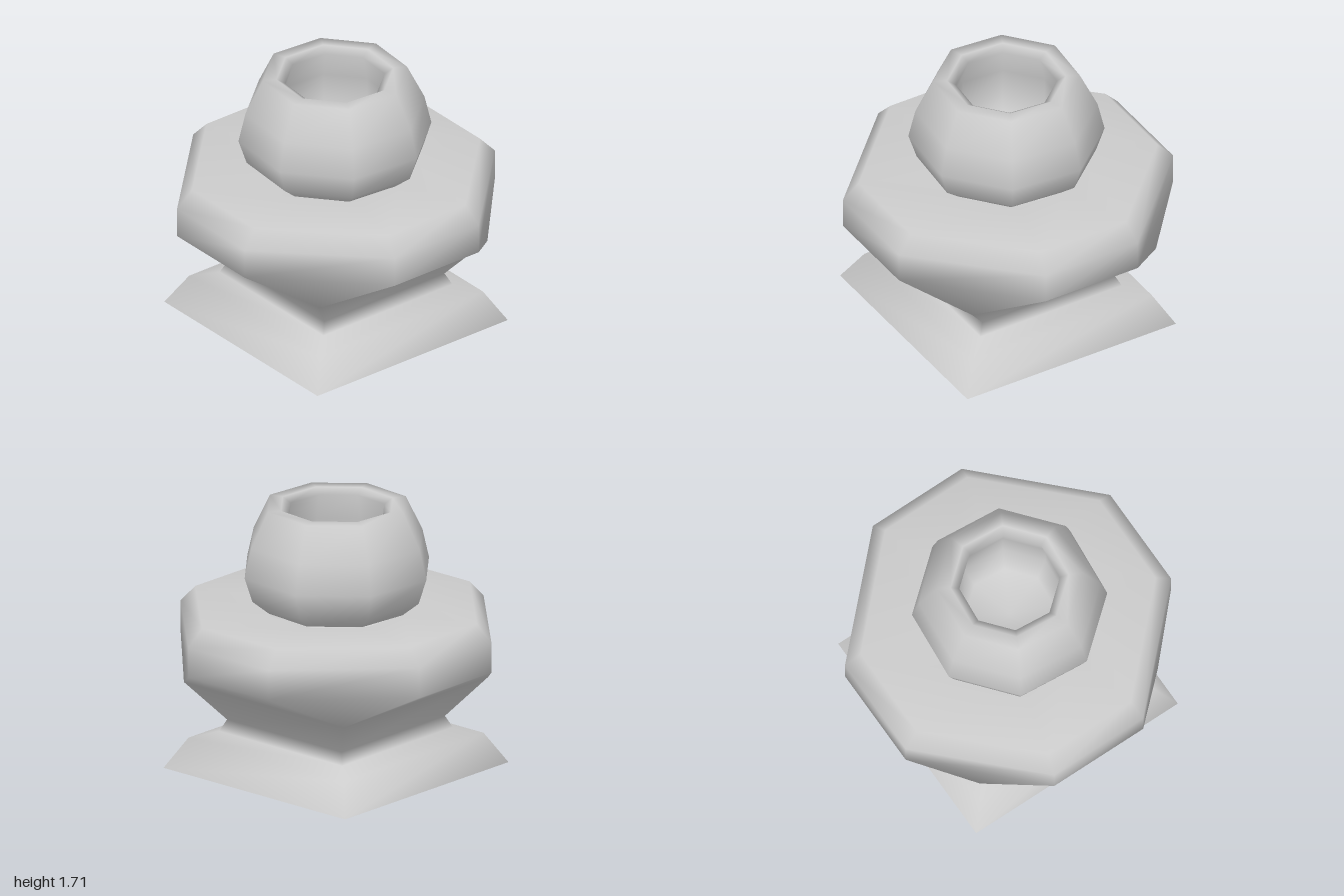
import * as THREE from 'three';
import { mergeVertices } from 'three/addons/utils/BufferGeometryUtils.js';

// Skin a stack of eight-point rings with smooth normals
function loft(rings) {
  const pos = [], index = [], n = 8;
  rings.forEach((ring) => ring.forEach((p) => pos.push(...p)));
  for (let j = 0; j < rings.length - 1; j++) {
    for (let i = 0; i < n; i++) {
      const a = j * n + i, b = j * n + (i + 1) % n;
      index.push(a, a + n, b, b, a + n, b + n);
    }
  }
  let geo = new THREE.BufferGeometry();
  geo.setAttribute('position', new THREE.Float32BufferAttribute(pos, 3));
  geo.setIndex(index);
  geo = mergeVertices(geo, 1e-4);
  geo.computeVertexNormals();
  return geo;
}

// Square with cut corners: a = half width, b = half length of each side (b = a is a plain square)
const cutSquare = (y, a, b = a) =>
  [[a, -b], [a, b], [b, a], [-b, a], [-a, b], [-a, -b], [-b, -a], [b, -a]].map(([x, z]) => [x, y, z]);

// Regular octagon, slightly turned
const octagon = (y, r) => Array.from({ length: 8 }, (_, i) => {
  const t = THREE.MathUtils.degToRad(27.6 + i * 45);
  return [r * Math.cos(t) - 0.012, y, r * Math.sin(t) + 0.004];
});

export function createModel() {
  const group = new THREE.Group();
  const material = new THREE.MeshStandardMaterial({ color: 0xcccccc, side: THREE.DoubleSide });
  const add = (name, geo) => {
    const mesh = new THREE.Mesh(geo, material);
    mesh.name = name;
    group.add(mesh);
  };

  // Hollow square foot and neck flaring into a wide eight-sided shoulder
  add('pedestal', loft([
    cutSquare(0, 0.76), cutSquare(0.195, 0.65), cutSquare(0.235, 0.515), cutSquare(0.31, 0.48),
    cutSquare(0.56, 0.67), cutSquare(0.745, 1, 0.335), cutSquare(0.94, 1, 0.335),
    cutSquare(1.05, 0.9, 0.31), cutSquare(1.04, 0.42, 0.17),
  ]));

  // Panel closing the neck inside the foot
  add('neckPanel', new THREE.PlaneGeometry(0.96, 0.96).rotateX(Math.PI / 2).translate(0, 0.31, 0));

  // Round cup with a thick rim and a hollow inside
  const profile = [
    [1.04, 0.45], [1.13, 0.56], [1.29, 0.612], [1.48, 0.568], [1.705, 0.458], [1.705, 0.37],
    [1.67, 0.315], [1.5, 0.36], [1.3, 0.36], [1.16, 0.28], [1.11, 0],
  ];
  add('cup', loft(profile.map(([y, r]) => octagon(y, r))));

  return group;
}
